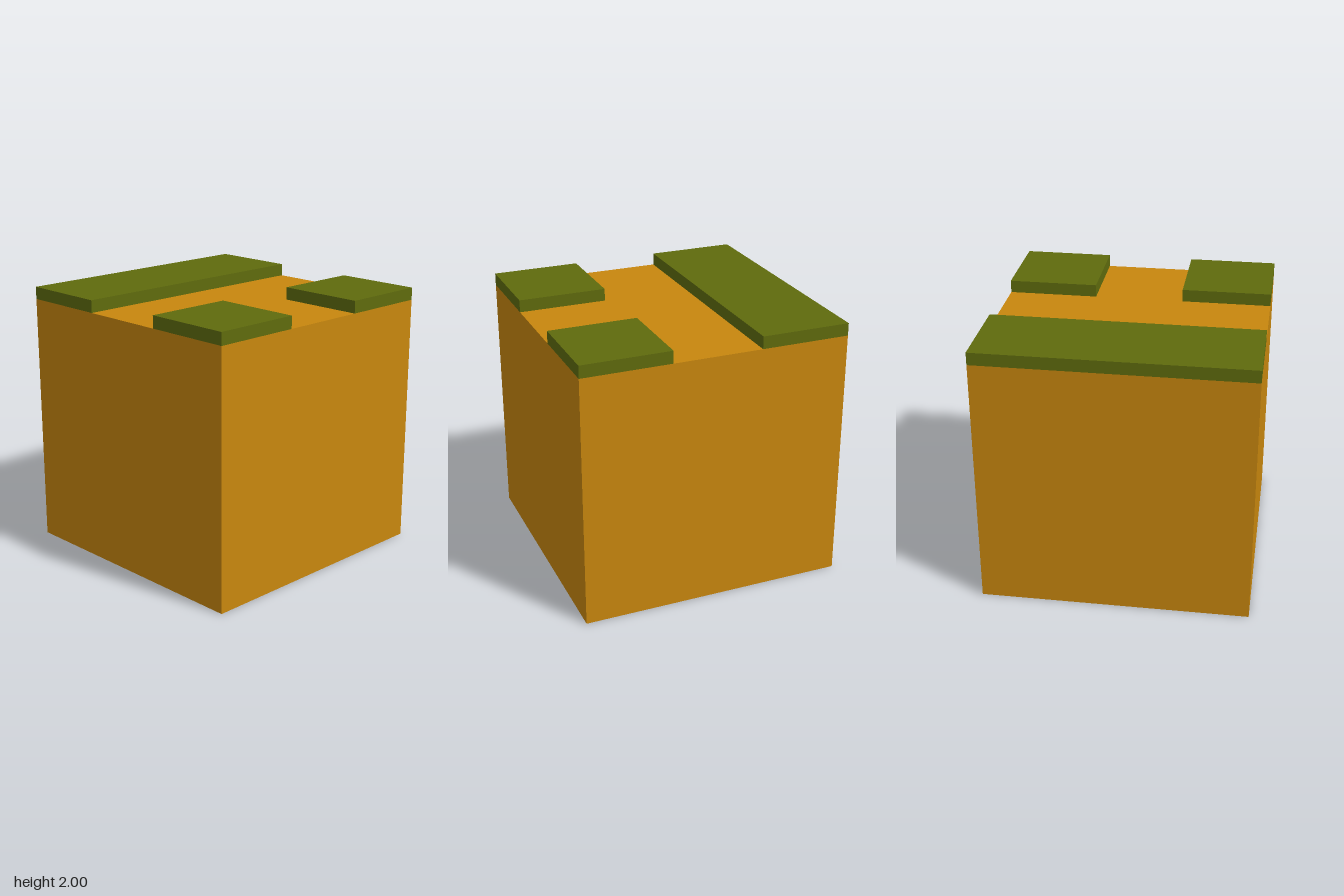
import * as THREE from 'three';

const earth = new THREE.MeshStandardMaterial({ name: 'ochre earth', color: 0xc8870e });
const grass = new THREE.MeshStandardMaterial({ name: 'olive grass', color: 0x5f6b0d });

const TOP = 2, GROUND = 1.907, EDGE = 1 / 3;

// Box given by its minimum and maximum corners
function block(name, material, [x0, y0, z0], [x1, y1, z1]) {
  const mesh = new THREE.Mesh(new THREE.BoxGeometry(x1 - x0, y1 - y0, z1 - z0), material);
  mesh.position.set((x0 + x1) / 2, (y0 + y1) / 2, (z0 + z1) / 2);
  mesh.name = name;
  return mesh;
}

export function createModel() {
  const group = new THREE.Group();
  group.name = 'pathJunctionTile';

  // Earth cube, its exposed top forming a T-shaped path
  group.add(block('earthBase', earth, [-1, 0, -1], [1, GROUND, 1]));

  // Full-length grass strip on the right
  group.add(block('grassStrip', grass, [-1, GROUND, -1], [-EDGE, TOP, 1]));

  // Grass corners either side of the branch path
  group.add(block('grassCornerBack', grass, [EDGE, GROUND, -1], [1, TOP, -EDGE]));
  group.add(block('grassCornerFront', grass, [EDGE, GROUND, EDGE], [1, TOP, 1]));

  return group;
}
